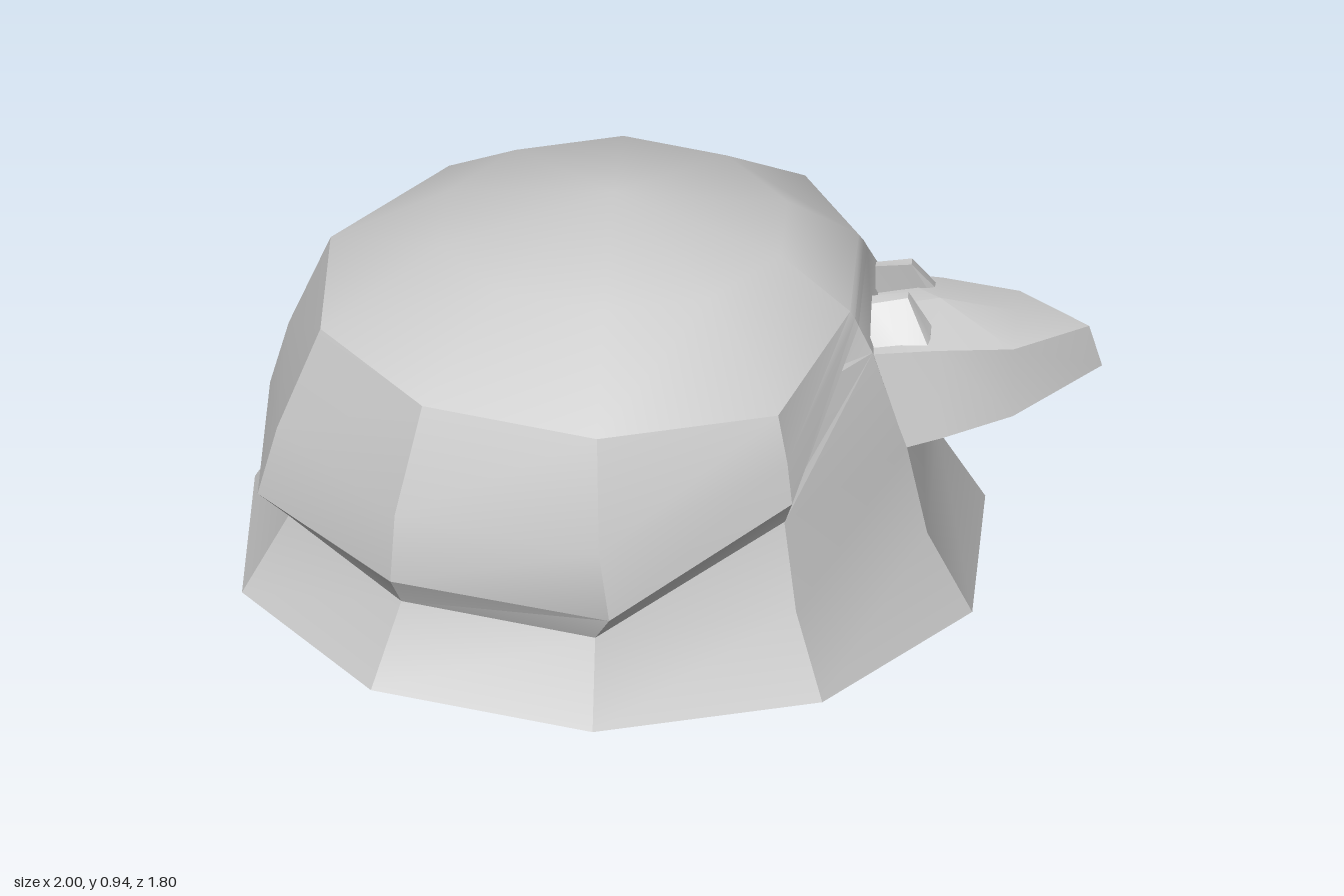
import * as THREE from 'three';
import { toCreasedNormals } from 'three/addons/utils/BufferGeometryUtils.js';

const CX = -0.145; // axis of the ten-sided dome
const SIDES = 10;

// Skin a list of closed rings; rings may collapse to a point
function loft(rings) {
  const pos = [];
  const tri = (a, b, c) => {
    const e1 = b.clone().sub(a), e2 = c.clone().sub(a);
    if (e1.cross(e2).length() > 1e-7) for (const p of [a, b, c]) pos.push(p.x, p.y, p.z);
  };
  for (let i = 0; i < rings.length - 1; i++) {
    const lo = rings[i], hi = rings[i + 1], n = lo.length;
    for (let j = 0; j < n; j++) {
      const k = (j + 1) % n;
      tri(lo[j], hi[j], lo[k]);
      tri(hi[j], hi[k], lo[k]);
    }
  }
  const geometry = new THREE.BufferGeometry();
  geometry.setAttribute('position', new THREE.Float32BufferAttribute(pos, 3));
  return toCreasedNormals(geometry, 0.5);
}

// Point on one of the ten columns of the dome
function columnPoint(j, r, y, dx = 0) {
  const a = (18 + 36 * j) * Math.PI / 180;
  return new THREE.Vector3(CX + r * Math.cos(a) + dx, y, r * Math.sin(a));
}

const columns = [...Array(SIDES).keys()];
const point = (x, y, z) => new THREE.Vector3(x, y, z);

// Ring that collapses to the middle of the given ring
function collapse(ring) {
  const c = ring.reduce((s, p) => s.add(p), new THREE.Vector3()).divideScalar(ring.length);
  return ring.map(() => c.clone());
}

export function createModel() {
  const group = new THREE.Group();
  const material = new THREE.MeshStandardMaterial({ color: 0xcccccc, side: THREE.DoubleSide });
  const add = (name, rings) => {
    const mesh = new THREE.Mesh(loft(rings), material);
    mesh.name = name;
    group.add(mesh);
  };

  // Flared body, radius and height of each ring
  const bodyProfile = [[0, 0], [0.9, 0], [0.787, 0.19], [0.736, 0.41], [0.65, 0.645], [0.5, 0.74], [0, 0.8]];
  add('body', bodyProfile.map(([r, y]) => columns.map(j => columnPoint(j, r, y))));

  // Shell columns from front to back: lip, rim, then up to the crown (radius, height, x shift)
  const crown = [[0.71, 0.68], [0.42, 0.86], [0, 0.945]];
  const shellColumns = [
    [[0.65, 0.645], [0.615, 0.71], [0.606, 0.728], [0.594, 0.745], [0.42, 0.86], [0, 0.945]],
    [[0.74, 0.41], [0.77, 0.47], [0.75, 0.57], ...crown],
    [[0.787, 0.19], [0.83, 0.26, 0.035], [0.815, 0.43, 0.01], ...crown],
    [[0.787, 0.19], [0.828, 0.26], [0.812, 0.43], ...crown],
    [[0.787, 0.19], [0.862, 0.26], [0.815, 0.43], ...crown],
  ];
  const shellRing = i => columns.map(j => columnPoint(j, ...shellColumns[j < 5 ? j : 9 - j][i]));
  add('shell', [0, 1, 2, 3, 4, 5].map(shellRing));

  // Pointed head: bottom corner, top corner and ridge of each section
  const headSections = [
    [[0.555, 0.41, 0.23], [0.47, 0.64, 0.2], [0.47, 0.655]],
    [[0.64, 0.43, 0.215], [0.62, 0.64, 0.175], [0.62, 0.685]],
    [[0.8, 0.465, 0.165], [0.8, 0.63, 0.14], [0.8, 0.655]],
    [[1, 0.515, 0], [0.97, 0.62, 0], [0.97, 0.62]],
  ];
  const headRings = headSections.map(([b, t, r]) => [
    point(...b), point(...t), point(r[0], r[1], 0),
    point(t[0], t[1], -t[2]), point(b[0], b[1], -b[2]),
  ]);
  add('head', headRings);

  // Raised eyes: x, then (y, z) from the outer foot over the top to the inner foot
  const eyeSections = [
    [0.465, [0.63, 0.185], [0.72, 0.1], [0.725, 0.07], [0.63, 0.08]],
    [0.55, [0.63, 0.165], [0.735, 0.095], [0.735, 0.065], [0.63, 0.08]],
    [0.605, [0.63, 0.16], [0.65, 0.13], [0.66, 0.09], [0.63, 0.08]],
  ];
  for (const side of [1, -1]) {
    const rings = eyeSections.map(([x, ...pts]) => {
      const ring = pts.map(([y, z]) => point(x, y, side * z));
      return side > 0 ? ring : ring.reverse();
    });
    add(side > 0 ? 'eyeFront' : 'eyeBack', [collapse(rings[0]), ...rings, collapse(rings[2])]);
  }
  return group;
}
